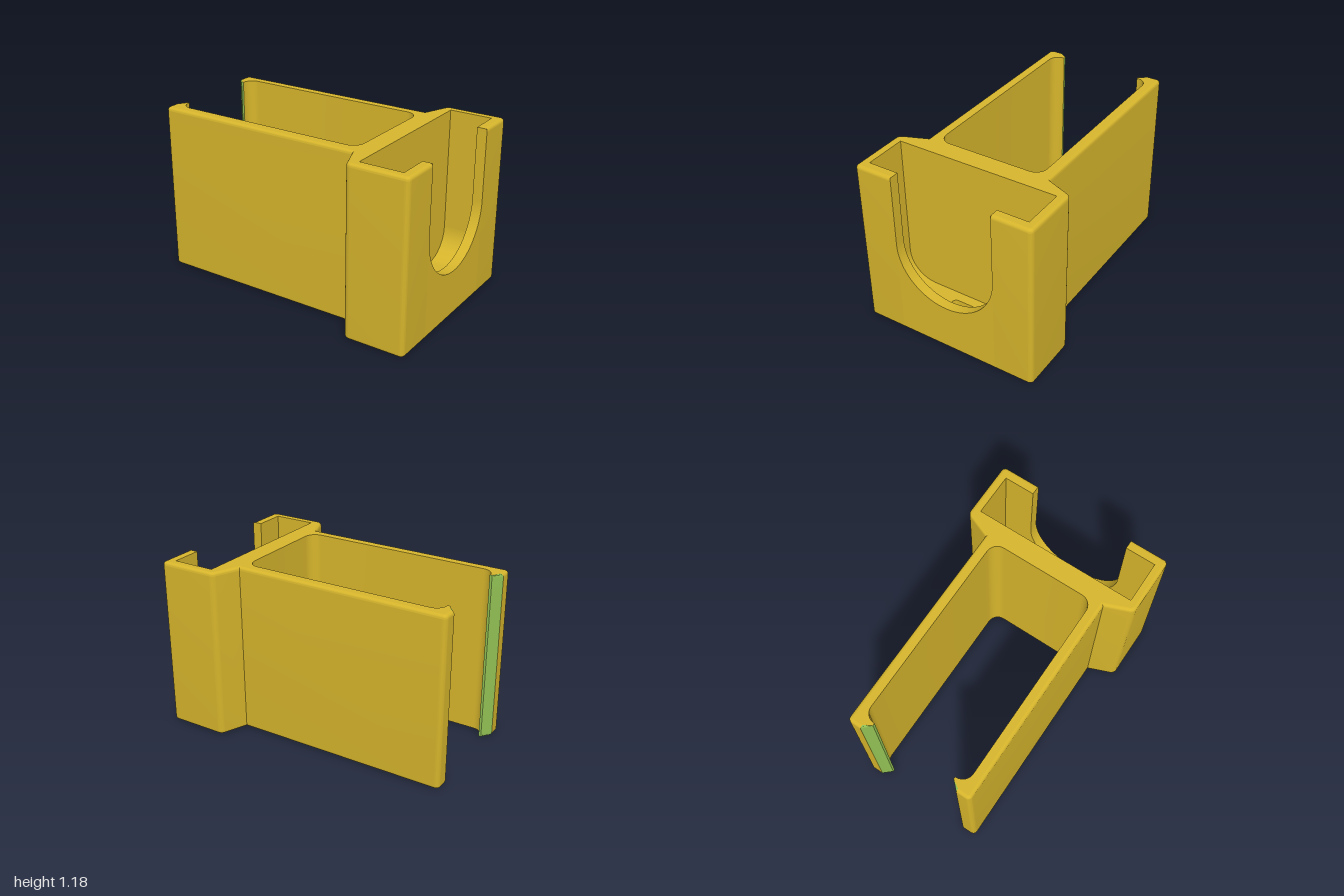
import * as THREE from 'three';
import { mergeGeometries, toCreasedNormals } from 'three/addons/utils/BufferGeometryUtils.js';

const H = 1.185, B = 0.022;             // height, rounded edge size
const SLOT = 0.36, CY = 0.69;           // U slot radius and centre height
const POCKET = 0.575, X0 = 0.63, X1 = 0.93; // pocket half length and faces
const FY = 0.12, FR = 0.2;              // pocket floor height and corner radius
const R0 = 0.70, R1 = 0.865, RZ = 0.16, RY = 0.06; // recess in the floor
const EDGE = 0.003;                     // narrow strip that keeps flat faces flat

const v = (x, y) => new THREE.Vector2(x, y);

// polyline with rounded corners, entries are [x, y, radius]
function rounded(pts) {
  const out = [];
  pts.forEach(([x, y, r], i) => {
    const p = v(x, y);
    if (!r) { out.push(p); return; }
    const toward = (q, d) => v(q[0], q[1]).sub(p).setLength(d).add(p);
    const prev = pts[i - 1], next = pts[i + 1];
    const a = toward(prev, r), b = toward(next, r), c = a.clone().add(b).sub(p);
    out.push(toward(prev, r + EDGE));
    for (let k = 0; k <= 8; k++) {
      const t = k / 8 * Math.PI / 2;
      out.push(c.clone()
        .addScaledVector(b.clone().sub(c), Math.sin(t))
        .addScaledVector(a.clone().sub(c), Math.cos(t)));
    }
    out.push(toward(next, r + EDGE));
  });
  return out;
}

// moves an open polyline sideways, towards its inside
function inset(pts, d) {
  const normal = (i) => {
    const e = pts[i + 1].clone().sub(pts[i]).normalize();
    return v(-e.y, e.x);
  };
  return pts.map((p, i) => {
    const n1 = normal(Math.max(i - 1, 0)), n2 = normal(Math.min(i, pts.length - 2));
    return p.clone().addScaledVector(n1.clone().add(n2), d / (1 + n1.dot(n2)));
  });
}

// half outline in x and z: outer skin, then clip lip and inner channel
const OUTER = rounded([[1, SLOT], [1, 0.637, 0.03], [0.575, 0.637, 0.03],
  [0.5, 0.45], [-1, 0.45, 0.03], [-1, 0.352]]);
const INNER = rounded([[-0.945, 0.297], [-0.928, 0.297], [-0.928, 0.377, 0.075],
  [0.49, 0.377, 0.08], [0.49, 0]]).slice(0, -1);

function bodyRing(d) {
  const half = [...inset(OUTER, d), ...INNER];
  return [...half, ...half.map((p) => v(p.x, -p.y)).reverse()];
}

const RECESS = rounded([[R1, 0], [R1, RZ, 0.03], [R0, RZ, 0.03],
  [R0, -RZ, 0.03], [R1, -RZ, 0.03], [R1, 0]]);

// [inset, height] steps of a rounded lower edge
const ROUND = Array.from({ length: 6 }, (_, k) => {
  const a = k / 5 * Math.PI / 2;
  return [B * (1 - Math.sin(a)), B * (1 - Math.cos(a))];
});
ROUND.push([0, B + EDGE]);

function quad(pos, a, b, c, d) { pos.push(...a, ...b, ...c, ...a, ...c, ...d); }

function fromTriangles(pos) {
  const g = new THREE.BufferGeometry();
  g.setAttribute('position', new THREE.Float32BufferAttribute(pos, 3));
  return g;
}

const smooth = (g) => toCreasedNormals(g, 0.5);

// one upright quad between two rings
function wallQuad(pos, lo, y0, hi, y1, i, j) {
  quad(pos, [lo[i].x, y0, lo[i].y], [hi[i].x, y1, hi[i].y],
    [hi[j].x, y1, hi[j].y], [lo[j].x, y0, lo[j].y]);
}

// path of (z, y) points drawn out along x
function strip(path, xa, xb) {
  const pos = [];
  for (let i = 0; i + 1 < path.length; i++) {
    const p = path[i], q = path[i + 1];
    quad(pos, [xa, p.y, p.x], [xb, p.y, p.x], [xb, q.y, q.x], [xa, q.y, q.x]);
  }
  return fromTriangles(pos);
}

export function createModel() {
  const group = new THREE.Group();
  const material = (name, color) => {
    const m = new THREE.MeshStandardMaterial({ color, side: THREE.DoubleSide });
    m.name = name;
    return m;
  };
  const yellow = material('mustard yellow', 0xd6b52c);
  const green = material('leaf green', 0x90be52);
  const add = (name, geometry, mat = yellow) => {
    const m = new THREE.Mesh(geometry, mat);
    m.name = name;
    group.add(m);
  };
  // flat faces across x, and flat faces across y
  const faceX = (name, pts, x) =>
    add(name, new THREE.ShapeGeometry(new THREE.Shape(pts)).rotateY(Math.PI / 2).translate(x, 0, 0));
  const faceY = (name, pts, y, hole) => {
    const flat = (list) => list.map((p) => v(p.x, -p.y));
    const shape = new THREE.Shape(flat(pts));
    if (hole) shape.holes.push(new THREE.Path(flat(hole)));
    add(name, new THREE.ShapeGeometry(shape).rotateX(-Math.PI / 2).translate(0, y, 0));
  };

  // side walls with rounded rims; the clip faces go to the green mesh
  const steps = [...ROUND, ...ROUND.map(([d, y]) => [d, H - y]).reverse()];
  const wall = [], clip = [];
  const n = bodyRing(0).length, tip = OUTER.length - 1;
  const isClip = (i) => (i >= tip && i < tip + 2) || (i <= n - 2 - tip && i > n - 4 - tip);
  for (let k = 0; k + 1 < steps.length; k++) {
    const [d0, y0] = steps[k], [d1, y1] = steps[k + 1];
    const lo = bodyRing(d0), hi = bodyRing(d1);
    const count = k < ROUND.length - 1 ? n : n - 1; // the slot side closes only along the bottom
    for (let i = 0; i < count; i++) {
      wallQuad(isClip(i) ? clip : wall, lo, y0, hi, y1, i, (i + 1) % n);
    }
  }
  add('sideWalls', smooth(fromTriangles(wall)));
  add('clipFaces', smooth(fromTriangles(clip)), green);

  // top and bottom faces
  const rim = bodyRing(B);
  faceY('bottomFace', rim, 0);
  faceY('topFace', [...rim, v(X1, -SLOT), v(X1, -POCKET), v(X0, -POCKET),
    v(X0, POCKET), v(X1, POCKET), v(X1, SLOT)], H);

  // U slot in the end wall
  const arc = Array.from({ length: 41 }, (_, i) => {
    const t = Math.PI * i / 40;
    return v(SLOT * Math.cos(t), CY - SLOT * Math.sin(t));
  });
  const slot = [v(SLOT, H), ...arc, v(-SLOT, H)];
  faceX('slotSurround', [v(SLOT, B + EDGE), ...arc, v(-SLOT, B + EDGE)], 1);
  add('slotEdge', smooth(strip(slot, X1, 1)));

  // pocket with rounded lower corners
  const pocket = rounded([[POCKET, H], [POCKET, FY, FR], [-POCKET, FY, FR], [-POCKET, H]]);
  const half = pocket.length / 2, fz = pocket[half - 1].x;
  faceX('pocketBack', pocket, X0);
  faceX('pocketFront', [...pocket, ...slot.slice().reverse()], X1);
  add('pocketEnds', smooth(mergeGeometries([
    strip(pocket.slice(0, half), X0, X1), strip(pocket.slice(half), X0, X1)])));
  faceY('pocketFloor', [v(X0, -fz), v(X1, -fz), v(X1, fz), v(X0, fz)], FY, RECESS.slice(0, -1));

  // small recess in the pocket floor, rounded at its foot
  const recess = [];
  const recessSteps = [...ROUND.map(([d, y]) => [d, RY + y]), [0, FY]];
  for (let k = 0; k + 1 < recessSteps.length; k++) {
    const [d0, y0] = recessSteps[k], [d1, y1] = recessSteps[k + 1];
    const lo = inset(RECESS, d0), hi = inset(RECESS, d1);
    // walked backwards so the walls face inwards
    for (let i = 1; i < RECESS.length; i++) wallQuad(recess, lo, y0, hi, y1, i, i - 1);
  }
  add('recessWalls', smooth(fromTriangles(recess)));
  faceY('recessFloor', inset(RECESS, B).slice(0, -1), RY);

  return group;
}
